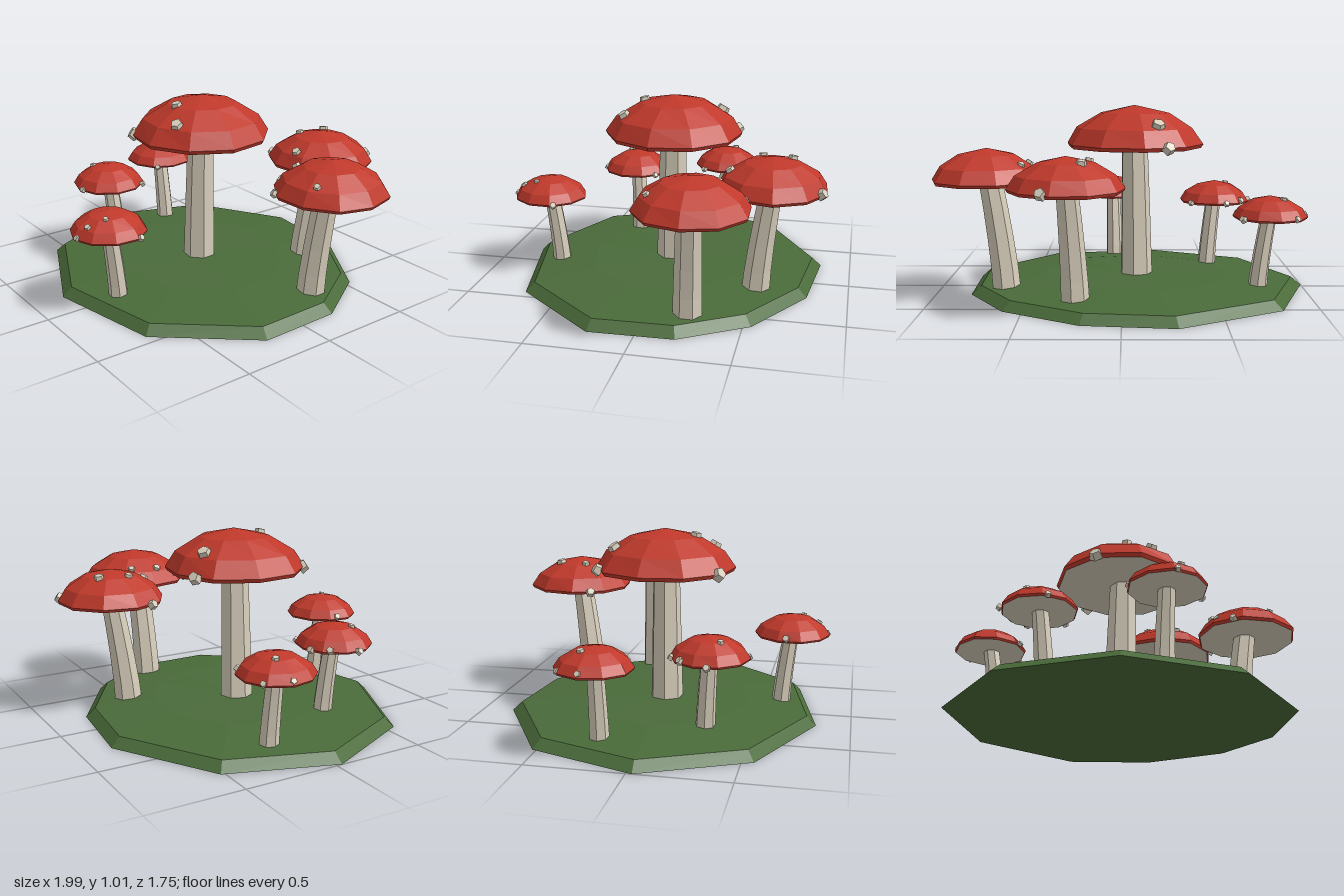
import * as THREE from 'three';

const RED = new THREE.MeshStandardMaterial({ color: 0xc0392b });
RED.name = 'cap red';
const CREAM = new THREE.MeshStandardMaterial({ color: 0xd8cfbc });
CREAM.name = 'stem cream';
const GREEN = new THREE.MeshStandardMaterial({ color: 0x4a6b3a });
GREEN.name = 'moss green';

// Faceted mesh: every face gets its own normal
function facetMesh(name, geometry, material) {
  const g = geometry.toNonIndexed();
  g.computeVertexNormals();
  const mesh = new THREE.Mesh(g, material);
  mesh.name = name;
  return mesh;
}

// Low mound: outline rings rising to a flat centre
function buildGround() {
  const outline = [[-1, 0.03], [-0.75, 0.56], [-0.18, 0.82], [0.44, 0.695], [0.82, 0.24],
    [0.81, -0.2], [0.6, -0.54], [0.2, -0.785], [-0.27, -0.835], [-0.81, -0.52]];
  const cx = -0.06, n = outline.length;
  const rings = [[1, 0], [0.94, 0.048], [0.55, 0.08]];
  const pos = [], idx = [];
  for (const [s, y] of rings) {
    for (const [x, z] of outline) pos.push(cx + (x - cx) * s, y, z * s);
  }
  const top = rings.length * n, bottom = top + 1;
  pos.push(cx, 0.082, 0, cx, 0, 0);
  for (let i = 0; i < n; i++) {
    const j = (i + 1) % n;
    for (let r = 0; r < rings.length - 1; r++) {
      const a = r * n + i, b = r * n + j;
      idx.push(a, b, b + n, a, b + n, a + n);
    }
    const last = (rings.length - 1) * n;
    idx.push(last + i, last + j, top, j, i, bottom);
  }
  const g = new THREE.BufferGeometry();
  g.setAttribute('position', new THREE.Float32BufferAttribute(pos, 3));
  g.setIndex(idx);
  return facetMesh('ground', g, GREEN);
}

// Cap profile: [radius, height] as fractions of the cap size, rim to crown
const PROFILE = [[0.97, 0], [1, 0.09], [0.85, 0.47], [0.5, 0.82], [0, 1]];

// Slight unevenness, the same for points that coincide
function wobble(geometry, amount, seed) {
  const p = geometry.attributes.position;
  for (let i = 0; i < p.count; i++) {
    const x = p.getX(i), z = p.getZ(i);
    const k = 1 + amount * Math.sin(x * 23 + z * 17 + seed * 2.3);
    p.setX(i, x * k);
    p.setZ(i, z * k);
  }
  return geometry;
}

// Stem leaning along a gentle curve from its foot to the cap
function buildStem(m) {
  const h = m.y0 + 0.01;
  const g = new THREE.CylinderGeometry(m.stem[0], m.stem[1], h, 7, 4, true, 0.3);
  const p = g.attributes.position;
  for (let i = 0; i < p.count; i++) {
    const t = THREE.MathUtils.clamp(p.getY(i) / h + 0.5, 0, 1);
    const k = Math.pow(t, 1.35);
    p.setXYZ(i,
      p.getX(i) + THREE.MathUtils.lerp(m.foot[0], m.head[0], k),
      0.003 + t * (h - 0.003),
      p.getZ(i) + THREE.MathUtils.lerp(m.foot[1], m.head[1], k));
  }
  return facetMesh('stem', g, CREAM);
}

// Domed cap with its pale flat underside
function buildCap(m, seed) {
  const cap = new THREE.Group();
  cap.name = 'cap';
  cap.position.set(m.c[0], m.y0, m.c[1]);
  const start = THREE.MathUtils.degToRad(90 - m.turn);
  const pts = PROFILE.map(([r, y]) => new THREE.Vector2(r * m.r, y * m.h));
  cap.add(facetMesh('capDome', wobble(new THREE.LatheGeometry(pts, 10, start), 0.015, seed), RED));
  const under = [new THREE.Vector2(0, 0), new THREE.Vector2(PROFILE[0][0] * m.r, 0)];
  cap.add(facetMesh('capUnderside', wobble(new THREE.LatheGeometry(under, 10, start), 0.015, seed), CREAM));

  // Five-sided warts seated on the dome, square to its slope
  const up = new THREE.Vector3(0, 1, 0);
  m.spots.forEach(([x, z], i) => {
    const dx = x - m.c[0], dz = z - m.c[1];
    const d = Math.hypot(dx, dz);
    const f = Math.min(d / m.r / 0.97, 1);
    let k = PROFILE.length - 2;
    while (k > 1 && PROFILE[k][0] < f) k--;
    const [r0, h0] = PROFILE[k], [r1, h1] = PROFILE[k + 1];
    const y = THREE.MathUtils.lerp(h0, h1, (r0 - f) / (r0 - r1)) * m.h;
    const rise = (h1 - h0) * m.h, run = (r0 - r1) * m.r;
    const normal = new THREE.Vector3(dx / d * rise, run, dz / d * rise).normalize();
    const s = m.spot * (0.9 + 0.2 * ((i * 7 + seed * 3) % 5) / 4);
    const wart = facetMesh('wart', new THREE.CylinderGeometry(s * 0.8, s, s * 1.1, 5, 1, false, i * 1.1), CREAM);
    wart.position.set(dx, y, dz);
    wart.quaternion.setFromUnitVectors(up, normal);
    cap.add(wart);
  });
  return cap;
}

// c: cap centre (x, z), r/h: cap radius and height, y0: rim height, stem: top and foot radius
const MUSHROOMS = [
  { name: 'tallMushroom', c: [-0.065, -0.015], r: 0.375, y0: 0.78, h: 0.228, turn: 10,
    stem: [0.073, 0.092], foot: [-0.075, -0.005], head: [-0.065, -0.01], spot: 0.037,
    spots: [[-0.065, 0.15], [0.06, 0.235], [-0.185, -0.26], [-0.24, -0.345], [-0.25, 0.305]] },
  { name: 'backMushroom', c: [0.27, -0.59], r: 0.288, y0: 0.61, h: 0.175, turn: 30,
    stem: [0.058, 0.077], foot: [0.235, -0.515], head: [0.268, -0.588], spot: 0.029,
    spots: [[0.19, -0.685], [0.16, -0.53], [0.305, -0.38], [0.37, -0.845], [0.01, -0.46]] },
  { name: 'leftMushroom', c: [0.705, -0.255], r: 0.292, y0: 0.615, h: 0.18, turn: 0,
    stem: [0.064, 0.077], foot: [0.615, -0.225], head: [0.69, -0.245], spot: 0.024,
    spots: [[0.515, -0.355], [0.49, -0.21], [0.8, -0.065], [0.565, 0], [0.535, -0.485], [0.495, -0.1]] },
  { name: 'rightMushroom', c: [-0.78, -0.205], r: 0.197, y0: 0.42, h: 0.12, turn: 8,
    stem: [0.043, 0.053], foot: [-0.72, -0.205], head: [-0.775, -0.205], spot: 0.02,
    spots: [[-0.845, -0.25], [-0.9, -0.35], [-0.625, -0.325], [-0.62, -0.085], [-0.96, -0.23]] },
  { name: 'frontRightMushroom', c: [-0.535, 0.31], r: 0.2, y0: 0.433, h: 0.125, turn: 16,
    stem: [0.044, 0.053], foot: [-0.487, 0.28], head: [-0.528, 0.305], spot: 0.02,
    spots: [[-0.605, 0.37], [-0.675, 0.185], [-0.5, 0.5], [-0.735, 0.325], [-0.39, 0.17], [-0.59, 0.125]] },
  { name: 'frontMushroom', c: [0.065, 0.665], r: 0.2, y0: 0.423, h: 0.122, turn: 19,
    stem: [0.043, 0.053], foot: [0.053, 0.612], head: [0.062, 0.66], spot: 0.02,
    spots: [[0.135, 0.72], [0.105, 0.805], [-0.12, 0.645], [0.08, 0.855], [0.25, 0.59]] },
];

export function createModel() {
  const model = new THREE.Group();
  model.name = 'mushroomPatch';
  model.add(buildGround());
  MUSHROOMS.forEach((m, i) => {
    const mushroom = new THREE.Group();
    mushroom.name = m.name;
    mushroom.add(buildStem(m), buildCap(m, i));
    model.add(mushroom);
  });
  return model;
}
